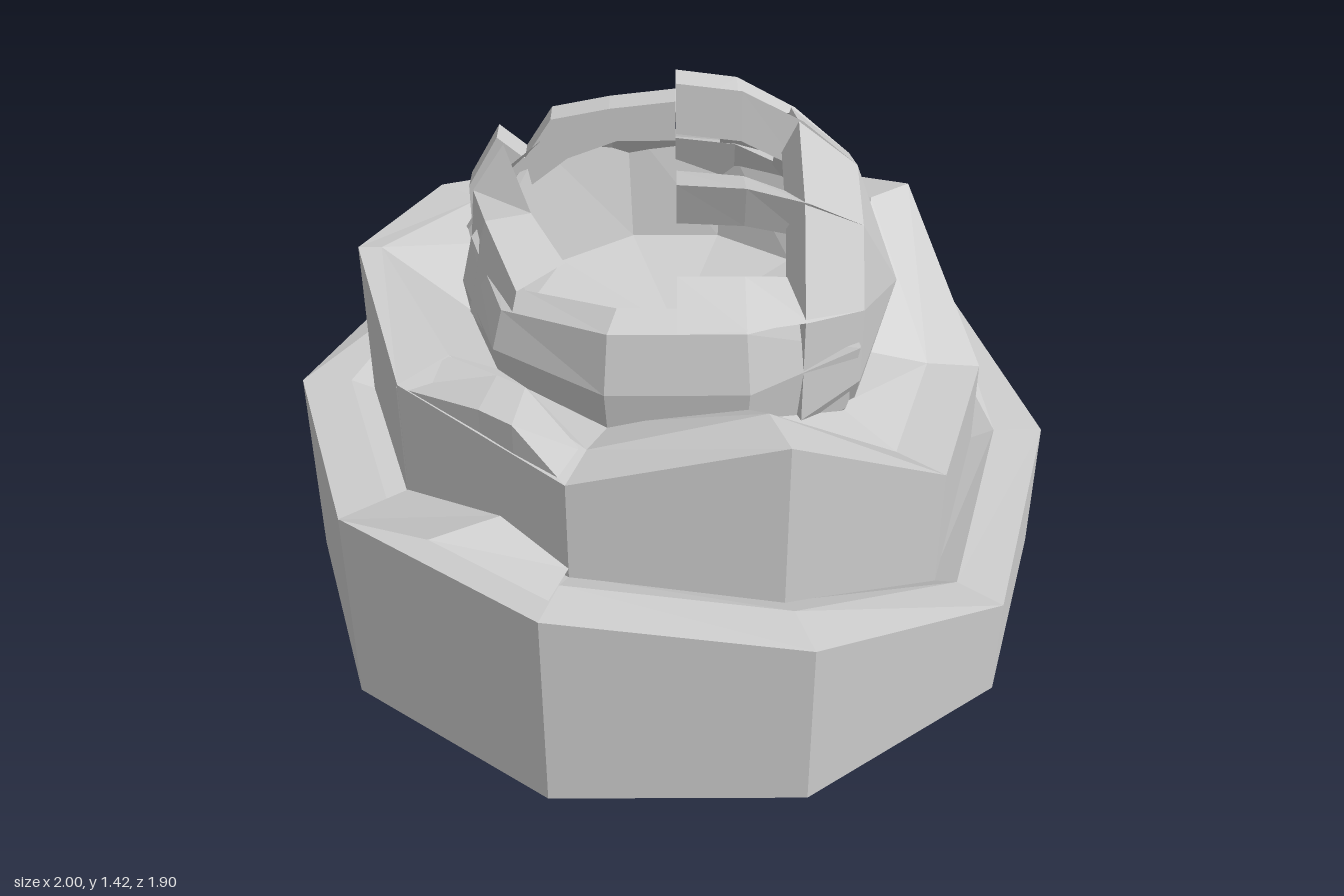
import * as THREE from 'three';

const material = new THREE.MeshStandardMaterial({ color: 0xcccccc, flatShading: true, side: THREE.DoubleSide });

// Surface through rows of points, optionally closed along each row
function loft(rows, closed) {
  const pos = [];
  for (let j = 0; j + 1 < rows.length; j++) {
    const n = rows[j].length;
    for (let i = 0; i < (closed ? n : n - 1); i++) {
      const k = (i + 1) % n;
      const a = rows[j][i], b = rows[j][k], c = rows[j + 1][k], d = rows[j + 1][i];
      pos.push(...a, ...c, ...b, ...a, ...d, ...c);
    }
  }
  const geo = new THREE.BufferGeometry();
  geo.setAttribute('position', new THREE.Float32BufferAttribute(pos, 3));
  geo.computeVertexNormals();
  return geo;
}

// Ten-sided ring whose radius and height may differ at every corner
function ringRows(profile) {
  return profile.map(([r, y]) => Array.from({ length: 10 }, (_, k) => {
    const a = k * Math.PI / 5;
    const rad = typeof r === 'number' ? r : r[k];
    return [rad * Math.cos(a), typeof y === 'number' ? y : y[k], rad * Math.sin(a)];
  }));
}

// Point on a ring around the bud's sideways axis, angle measured from the top
function around(x, r, deg) {
  const a = THREE.MathUtils.degToRad(deg);
  return [x, 0.87 + r * Math.cos(a), r * Math.sin(a)];
}

export function createModel() {
  const group = new THREE.Group();
  const add = (name, geo) => {
    const mesh = new THREE.Mesh(geo, material);
    mesh.name = name;
    group.add(mesh);
    return mesh;
  };

  // Outer petal wall with a wavy rim, closed up to the middle wall
  const h1 = [0.39, 0.28, 0.47, 0.56, 0.56, 0.56, 0.51, 0.41, 0.49, 0.49];
  const rim1 = [0.39, 0.29, 0.48, 0.56, 0.56, 0.56, 0.56, 0.48, 0.56, 0.56];
  add('outerPetalWall', loft(ringRows([
    [0, 0], [1, 0], [1, h1], [0.87, rim1], [0.8, rim1.map((h) => h - 0.03)],
  ]), true));

  // Low ridge where the outer wall overlaps itself
  add('outerPetalRidge', loft([
    [[-0.81, 0.56, 0.59], [-0.57, 0.63, 0.75], [-0.29, 0.56, 0.88]],
    [[-0.65, 0.56, 0.47], [-0.41, 0.62, 0.65], [-0.25, 0.56, 0.77]],
  ], false));

  // Middle petal wall, closed up to the bud
  const h2 = [0.6, 0.6, 0.9, 0.8, 0.87, 0.97, 0.9, 0.82, 0.82, 0.9];
  const rim2 = [0.61, 0.61, 0.9, 0.8, 0.9, 0.97, 0.9, 0.9, 0.9, 0.9];
  const rimRadius = [0.67, 0.67, 0.67, 0.67, 0.67, 0.75, 0.67, 0.67, 0.67, 0.67];
  const floor2 = [0.65, 0.68, 0.8, 0.76, 0.78, 0.75, 0.82, 0.85, 0.84, 0.75];
  add('middlePetalWall', loft(ringRows([
    [0.81, 0.15], [0.81, h2], [rimRadius, rim2], [0.5, floor2],
  ]), true));

  // Raised end of the middle wall beside its notch
  const tip = [[-0.66, 0.86, 0.47], [-0.45, 0.9, 0.62], [-0.37, 0.9, 0.68], [-0.25, 0.79, 0.76]];
  add('middlePetalTip', loft([
    tip.map(([x, , z]) => [x, 0.5, z]),
    tip,
    [[-0.54, 0.9, 0.4], [-0.42, 0.9, 0.48], [-0.35, 0.9, 0.53], [-0.22, 0.8, 0.64]],
  ], false));

  // Hollow inner bud, taller and leaning inward at the back
  const h3 = [0.95, 0.97, 1.02, 1.02, 0.97, 1.0, 1.05, 1.05, 1.04, 1.0];
  const rimOut = [0.52, 0.52, 0.52, 0.52, 0.52, 0.52, 0.5, 0.48, 0.5, 0.52];
  const rimIn = [0.45, 0.45, 0.45, 0.45, 0.45, 0.45, 0.44, 0.42, 0.43, 0.45];
  const rimTop = [0.98, 1.0, 1.05, 1.05, 1.0, 1.03, 1.13, 1.13, 1.08, 1.03];
  add('innerBud', loft(ringRows([
    [0.42, 0.5], [0.52, 0.68], [0.55, 0.87], [rimOut, h3], [rimIn, rimTop], [0.38, 0.8], [0, 0.72],
  ]), true));

  // Sideways cup closing the +x side of the bud
  const cup = new THREE.LatheGeometry([
    [0, 0.47], [0.25, 0.39], [0.37, 0.26], [0.45, 0.3], [0.33, 0.45], [0, 0.57],
  ].map(([r, x]) => new THREE.Vector2(r, x)), 10);
  cup.rotateY(Math.PI / 10).rotateZ(-Math.PI / 2).translate(0, 0.87, 0);
  add('sideCup', cup);

  // Curved blades reaching from the cup over the middle, the top one thin
  for (const [deg, lean] of [[-72, 14], [-36, 14], [0, -3], [36, -14], [72, -14]]) {
    const rows = [[0.45, 0.33], [0.31, 0.45], [0.16, 0.53], [0, 0.55]].map(([x, r]) => [
      around(x, r, deg), around(x, r - 0.12, deg + lean), around(x, r - 0.13, deg - lean / 3),
    ]);
    add('cupBlade', loft(rows, true));
  }

  // Rounded shells behind the hollow, with a gap between them
  const shells = [
    [[-0.54, 0.14], [-0.46, 0.27], [-0.32, 0.38], [-0.17, 0.42], [0, 0.44]],
    [[0.12, 0.42], [0.31, 0.43]],
  ];
  for (const profile of shells) {
    add('backShell', loft([-30, -48, -66, -84].map(
      (deg) => profile.map(([x, r]) => around(x, r, deg)),
    ), false));
  }

  // Hooked petal rising from the -x side
  const hook = new THREE.Shape([
    [-0.54, 0.8], [-0.54, 1.05], [-0.46, 1.19], [-0.39, 1.13], [-0.32, 1.24], [-0.17, 1.27], [0, 1.29],
    [0, 1.18], [-0.15, 1.18], [-0.28, 1.13], [-0.38, 1.05], [-0.42, 0.8],
  ].map(([x, y]) => new THREE.Vector2(x, y)));
  const hookGeo = new THREE.ExtrudeGeometry(hook, { depth: 0.08, bevelEnabled: false });
  add('hookedPetal', hookGeo).position.z = -0.26;

  // Short pointed petal at the front of the -x side
  add('shortPetal', loft([
    [[-0.54, 0.85, -0.1], [-0.52, 0.85, 0.12], [-0.42, 0.85, 0.33]],
    [[-0.52, 1.08, -0.1], [-0.47, 1.1, 0.1], [-0.38, 1.03, 0.32]],
    [[-0.44, 1.19, -0.14], [-0.36, 1.1, 0.06], [-0.27, 1.05, 0.22]],
  ], false));

  return group;
}
